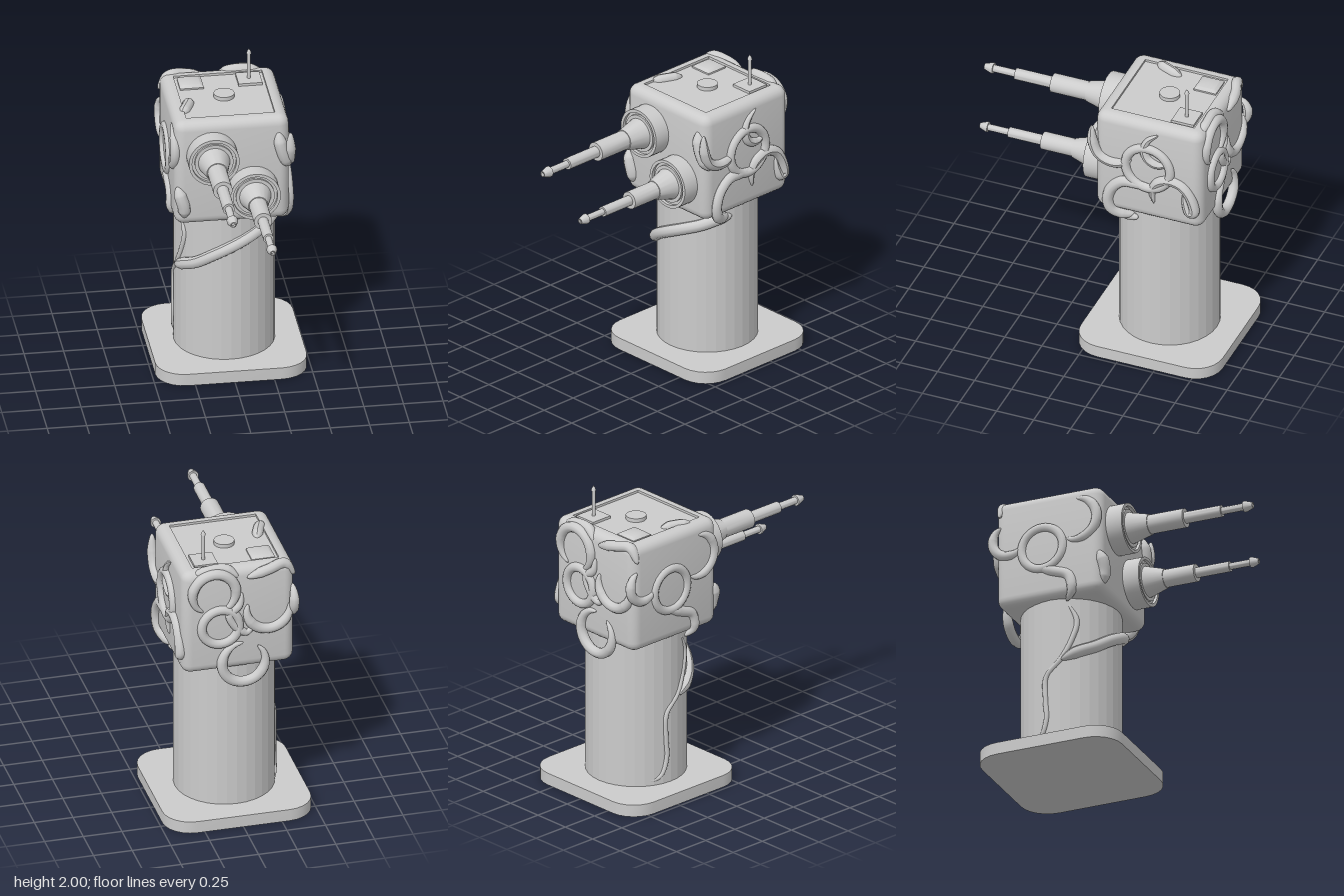
import * as THREE from 'three';
import { toCreasedNormals } from 'three/addons/utils/BufferGeometryUtils.js';

const CZ = -0.41; // centre of the tower in z
const grey = new THREE.MeshStandardMaterial({ color: 0xcccccc });
const faceted = new THREE.MeshStandardMaterial({ color: 0xcccccc, flatShading: true });

export function createModel() {
  const model = new THREE.Group();

  const add = (name, geo, x = 0, y = 0, z = 0, mat = grey) => {
    const mesh = new THREE.Mesh(geo, mat);
    mesh.name = name;
    mesh.position.set(x, y, z);
    model.add(mesh);
    return mesh;
  };

  // Rounded-square outline as points
  const outline = (half, r, seg = 6) => {
    const pts = [];
    for (let c = 0; c < 4; c++) {
      const mid = (c + 0.5) * Math.PI / 2;
      const sx = Math.sign(Math.cos(mid)), sz = Math.sign(Math.sin(mid));
      for (let i = 0; i <= seg; i++) {
        const a = (c + i / seg) * Math.PI / 2;
        pts.push([sx * (half - r) + r * Math.cos(a), sz * (half - r) + r * Math.sin(a)]);
      }
    }
    return pts;
  };

  // Skin over stacked rounded squares [half size, corner radius, y]
  const loft = (rows) => {
    const pos = [], index = [];
    rows.forEach(([h, r, y]) => outline(h, r).forEach(([x, z]) => pos.push(x, y, z)));
    const n = pos.length / 3 / rows.length;
    for (let i = 0; i < rows.length - 1; i++) {
      for (let j = 0; j < n; j++) {
        const a = i * n + j, b = i * n + (j + 1) % n;
        index.push(a, a + n, b, b, a + n, b + n);
      }
    }
    const geo = new THREE.BufferGeometry();
    geo.setAttribute('position', new THREE.Float32BufferAttribute(pos, 3));
    geo.setIndex(index);
    return toCreasedNormals(geo, 0.6);
  };

  // Base plate and column
  add('basePlate', loft([[0, 0, 0], [0.478, 0.18, 0], [0.478, 0.18, 0.08], [0, 0, 0.08]]), 0, 0, CZ);
  add('column', new THREE.CylinderGeometry(0.318, 0.318, 1.04, 32), 0, 0.58, CZ, faceted);

  // Head with rounded edges and a shallow recess in the roof
  const rows = [[0, 0, 1.07]];
  const bevel = 0.06;
  for (const [y0, start] of [[1.07 + bevel, -90], [1.79 - bevel, 0]]) {
    for (let i = 0; i <= 5; i++) {
      const a = THREE.MathUtils.degToRad(start + i * 18);
      const c = bevel * Math.cos(a);
      rows.push([0.302 + c, c + 0.005, y0 + bevel * Math.sin(a)]);
    }
  }
  rows.push([0.28, 0.003, 1.79], [0.28, 0.003, 1.775], [0, 0, 1.775]);
  add('head', loft(rows), 0, 0, CZ);

  // Roof fittings
  add('roofHatch', loft([[0.075, 0.004, 1.77], [0.075, 0.004, 1.785], [0.055, 0.004, 1.8], [0, 0, 1.8]]), -0.185, 0, -0.6);
  add('antennaPlate', new THREE.BoxGeometry(0.15, 0.02, 0.15), 0.185, 1.782, -0.6);
  add('roofDisc', new THREE.CylinderGeometry(0.065, 0.065, 0.03, 24), 0, 1.785, CZ);

  const lathe = (points, seg = 24) => toCreasedNormals(
    new THREE.LatheGeometry(points.map(([r, h]) => new THREE.Vector2(r, h)), seg), 0.5);
  add('antenna', lathe([[0, 1.78], [0.011, 1.78], [0.011, 1.965], [0.016, 1.965], [0.012, 1.98], [0, 2]], 12), 0.185, 0, -0.6);

  // Gun: grooved collar, cone and telescoping barrel along +z
  const gun = (name, x, y, [r1, r2, r3], [z1, z2, z3, z4, z5]) => {
    const mesh = add(name, lathe([
      [0, -0.08], [0.16, -0.08], [0.16, 0.06], [0.14, 0.06], [0.14, 0.04], [0.122, 0.04],
      [0.122, 0.055], [0.1, 0.055], [r1 + 0.005, z1], [r1, z1], [r1, z2], [r2, z2], [r2, z3],
      [r3, z3], [r3, z4], [r3 + 0.012, z4], [r3 + 0.012, z4 + 0.012], [r3 - 0.004, z5],
      [r3 - 0.01, z5], [r3 - 0.01, z5 - 0.02], [0, z5 - 0.02],
    ], 32), x, y, 0);
    mesh.rotation.x = Math.PI / 2;
  };
  gun('upperGun', -0.13, 1.56, [0.061, 0.037, 0.023], [0.19, 0.43, 0.68, 0.83, 0.89]);
  gun('lowerGun', 0.13, 1.3, [0.057, 0.033, 0.021], [0.18, 0.39, 0.62, 0.76, 0.815]);

  // Vine: tube that thins towards its ends
  const vine = (name, pts, r, tipA = 0.25, tipB = 0.25) => {
    const curve = new THREE.CatmullRomCurve3(pts.map((p) => new THREE.Vector3(...p)));
    const seg = pts.length * 8, sides = 10;
    const geo = new THREE.TubeGeometry(curve, seg, r, sides);
    const pos = geo.attributes.position, v = new THREE.Vector3();
    for (let i = 0; i <= seg; i++) {
      const t = i / seg, c = curve.getPointAt(t);
      const k = Math.sqrt(Math.max(0, Math.min(1, t / tipA, (1 - t) / tipB)));
      for (let j = 0; j <= sides; j++) {
        const n = i * (sides + 1) + j;
        v.fromBufferAttribute(pos, n).sub(c).multiplyScalar(k).add(c);
        pos.setXYZ(n, v.x, v.y, v.z);
      }
    }
    geo.computeVertexNormals();
    return add(name, geo);
  };

  // Points [across, y] laid on a side face (fixed x) or the back face (fixed z)
  const onSide = (x, pts) => pts.map(([z, y, out = 0]) => [x + Math.sign(x) * out, y, z]);
  const onBack = (z, pts) => pts.map(([x, y, out = 0]) => [x, y, z - out]);
  const arc = (u, y, r, from, to, n = 8) => Array.from({ length: n + 1 }, (_, i) => {
    const a = THREE.MathUtils.degToRad(from + (to - from) * i / n);
    return [u + r * Math.cos(a), y + r * Math.sin(a)];
  });

  // Vines on the left face
  const leftFace = 0.365;
  const sideRing = add('leftVineRing', new THREE.TorusGeometry(0.15, 0.03, 10, 36), leftFace, 1.46, CZ);
  sideRing.rotation.y = Math.PI / 2;
  vine('leftVineUpper', onSide(leftFace, [[-0.03, 1.69], [-0.04, 1.56], [-0.08, 1.48], [-0.16, 1.445], [-0.25, 1.46], [-0.3, 1.5]]), 0.034);
  vine('leftVineTip', onSide(leftFace, [[-0.48, 1.73], [-0.41, 1.67], [-0.385, 1.6], [-0.41, 1.53], [-0.48, 1.5], [-0.55, 1.52]]), 0.03, 0.5);
  vine('leftVineHook', onSide(leftFace, [[-0.45, 1.2], [-0.44, 1.29], [-0.47, 1.36], [-0.55, 1.4], [-0.64, 1.38], [-0.7, 1.3], [-0.72, 1.2], [-0.69, 1.19], [-0.66, 1.26], [-0.65, 1.33]]), 0.034);
  vine('leftVineLower', onSide(leftFace, [[-0.47, 1.32], [-0.36, 1.32], [-0.25, 1.32], [-0.17, 1.25], [-0.14, 1.16], [-0.16, 1.08, -0.01], [-0.22, 1.04, -0.04], [-0.3, 1.03, -0.07]]), 0.036, 0.25, 0.12);

  // Vines on the back face
  const backFace = -0.775;
  add('backVineRing', new THREE.TorusGeometry(0.12, 0.03, 10, 36), 0.12, 1.39, backFace);
  vine('backVineUpper', onBack(backFace, arc(0.16, 1.63, 0.14, -60, 250, 12)), 0.034);
  vine('backVineTip', onBack(backFace, [[-0.02, 1.62], [0, 1.53], [0.06, 1.47], [0.02, 1.38], [-0.05, 1.33], [-0.1, 1.38]]), 0.028);
  vine('backVineHook', onBack(backFace, arc(-0.19, 1.48, 0.14, -190, 20, 10)), 0.034);
  vine('backVineLower', onBack(backFace, arc(-0.03, 1.12, 0.14, -230, 90, 12)), 0.034);
  vine('backVineTop', [[0.3, 1.75, -0.73], [0.2, 1.78, -0.74], [0.08, 1.78, -0.74], [0, 1.73, -0.77]], 0.034);
  vine('backVineTopRight', [[-0.37, 1.68, -0.74], [-0.3, 1.77, -0.74], [-0.2, 1.76, -0.77], [-0.05, 1.72, -0.78]], 0.034);

  // Vines on the right face, sunk deeper
  const rightFace = -0.355;
  const ring = add('rightVineRing', new THREE.TorusGeometry(0.14, 0.03, 10, 36), rightFace, 1.42, -0.45);
  ring.rotation.y = Math.PI / 2;
  vine('rightVineUpper', onSide(rightFace, arc(-0.22, 1.58, 0.14, -120, 90)), 0.032);
  vine('rightVineHook', onSide(rightFace, arc(-0.68, 1.52, 0.11, 120, 330)), 0.032);
  vine('rightVineLower', onSide(rightFace, [[-0.5, 1.3], [-0.38, 1.25], [-0.27, 1.2], [-0.25, 1.1], [-0.3, 1.04, -0.03]]), 0.034);

  // Vine bits surfacing on the front, roof and edges
  vine('frontLeftVine', [[0.29, 1.69, -0.06], [0.305, 1.6, -0.045], [0.335, 1.5, -0.055], [0.365, 1.43, -0.09]], 0.04);
  vine('frontRightVine', [[-0.345, 1.34, -0.07], [-0.325, 1.27, -0.05], [-0.305, 1.2, -0.05], [-0.3, 1.12, -0.07]], 0.04);
  vine('roofVine', [[-0.3, 1.77, -0.21], [-0.27, 1.775, -0.26], [-0.24, 1.775, -0.33], [-0.215, 1.77, -0.4]], 0.036);

  // Vine winding down the column: [angle from +x towards +z, y]
  const wound = (pts, r) => pts.map(([deg, y]) => {
    const a = THREE.MathUtils.degToRad(deg);
    return [r * Math.cos(a), y, CZ + r * Math.sin(a)];
  });
  vine('columnVine', wound([[15, 1.02], [30, 1.01], [50, 0.97], [70, 0.93], [90, 0.88], [110, 0.82], [130, 0.75], [150, 0.7], [168, 0.65]], 0.325), 0.038, 0.08, 0.1);
  vine('columnVineTail', wound([[160, 1.04], [150, 0.92], [155, 0.8], [168, 0.66], [186, 0.55], [187, 0.4], [186, 0.25], [195, 0.13], [220, 0.1]], 0.313), 0.018, 0.1, 0.2);

  return model;
}
